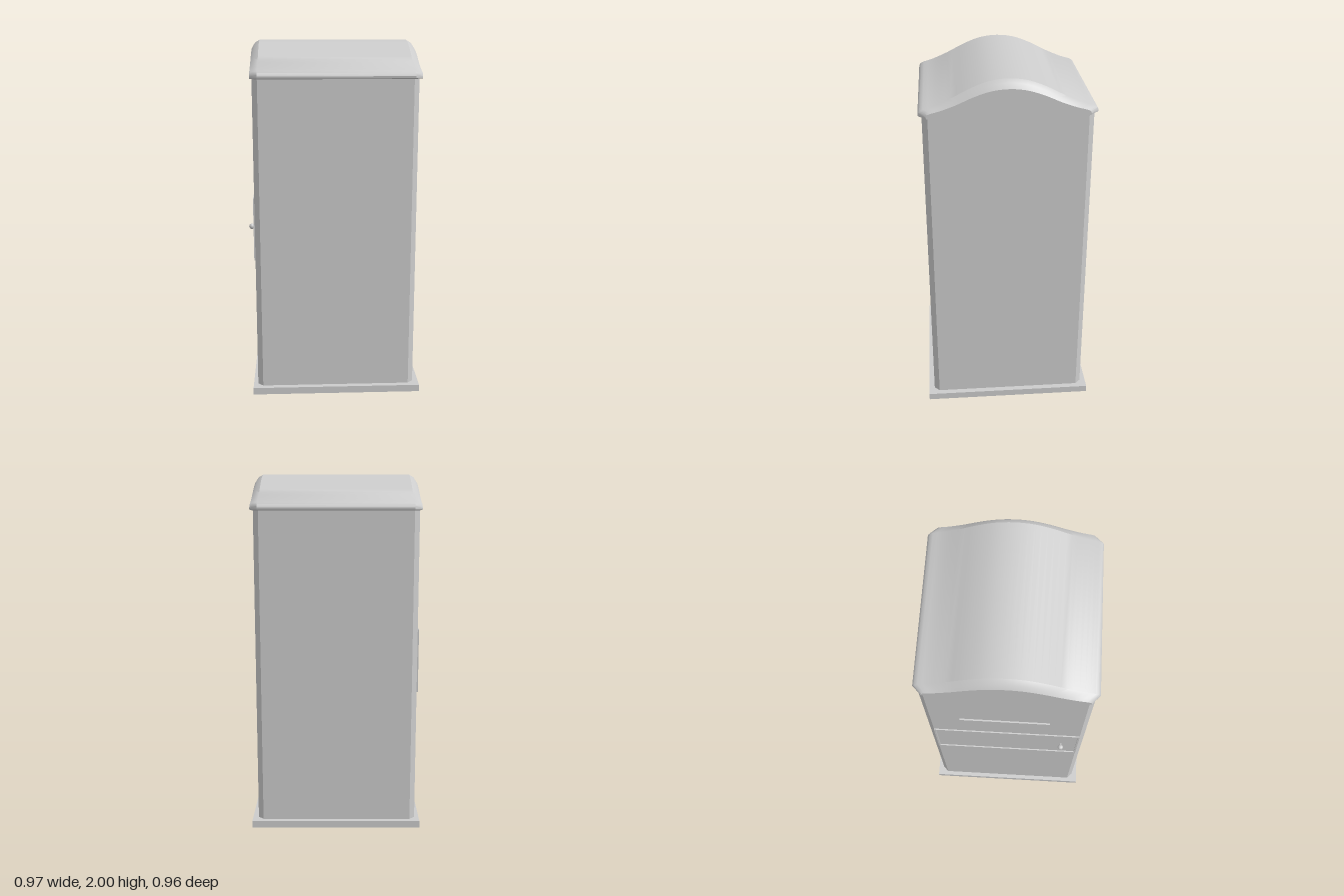
import * as THREE from 'three';
import { toCreasedNormals } from 'three/addons/utils/BufferGeometryUtils.js';

const material = new THREE.MeshStandardMaterial({ color: 0xcccccc });

function part(name, geometry, x = 0, y = 0, z = 0) {
  const mesh = new THREE.Mesh(geometry, material);
  mesh.name = name;
  mesh.position.set(x, y, z);
  return mesh;
}

function rect(target, x0, y0, x1, y1) {
  target.moveTo(x0, y0);
  target.lineTo(x1, y0);
  target.lineTo(x1, y1);
  target.lineTo(x0, y1);
  target.closePath();
  return target;
}

// Plate on the -x side, drawn in (z, y) and given thickness towards -x
function sidePlate(outer, hole, depth) {
  const shape = rect(new THREE.Shape(), ...outer);
  shape.holes.push(rect(new THREE.Path(), ...hole));
  return new THREE.ExtrudeGeometry(shape, { depth, bevelEnabled: false }).rotateY(-Math.PI / 2);
}

// Bell-shaped roof: one profile lofted along x, shrinking at the bevelled ends
function roofGeometry() {
  const floor = 1.805;
  const half = [[0.47, 1.821], [0.46, 1.838], [0.39, 1.862], [0.3, 1.9], [0.2, 1.951], [0.1, 1.988]];
  const curve = new THREE.CatmullRomCurve3([
    ...half.map(([z, y]) => new THREE.Vector3(0, y, z)),
    new THREE.Vector3(0, 2, 0),
    ...half.map(([z, y]) => new THREE.Vector3(0, y, -z)).reverse(),
  ]);
  const profile = [[0.455, floor], [0.468, 1.81], ...curve.getPoints(36).map((p) => [p.z, p.y]),
    [-0.468, 1.81], [-0.455, floor]];
  // x, inset in z, height factor
  const stations = [
    [-0.463, 0.042, 0.78], [-0.446, 0.026, 0.92], [-0.42, 0, 1],
    [0.43, 0, 1], [0.456, 0.026, 0.92], [0.473, 0.042, 0.78],
  ];
  const n = profile.length;
  const positions = [];
  const index = [];
  for (const [x, inset, rise] of stations) {
    for (const [z, y] of profile) positions.push(x, floor + (y - floor) * rise, z * (1 - inset / 0.47));
  }
  for (let i = 0; i < stations.length - 1; i++) {
    for (let j = 0; j < n; j++) {
      const a = i * n + j, b = i * n + (j + 1) % n;
      index.push(a, a + n, b, b, a + n, b + n);
    }
  }
  // End caps
  const last = (stations.length - 1) * n;
  const centre = positions.length / 3;
  positions.push(stations[0][0], floor, 0, stations.at(-1)[0], floor, 0);
  for (let j = 0; j < n - 1; j++) {
    index.push(centre, j, j + 1, centre + 1, last + j + 1, last + j);
  }
  const geometry = new THREE.BufferGeometry();
  geometry.setAttribute('position', new THREE.Float32BufferAttribute(positions, 3));
  geometry.setIndex(index);
  return toCreasedNormals(geometry, 0.5);
}

export function createModel() {
  const model = new THREE.Group();
  model.name = 'dropBox';

  model.add(part('basePlate', new THREE.BoxGeometry(0.962, 0.04, 0.965), 0.006, 0.02, 0));

  // Body with chamfered corners, notched on the -x side for the slotted wall
  const plan = new THREE.Shape([
    [0.455, -0.42], [0.455, 0.42], [0.425, 0.45], [-0.42, 0.45], [-0.45, 0.42], [-0.42, 0.42],
    [-0.42, -0.42], [-0.45, -0.42], [-0.42, -0.45], [0.425, -0.45],
  ].map(([x, y]) => new THREE.Vector2(x, y)));
  const body = new THREE.ExtrudeGeometry(plan, { depth: 1.77, bevelEnabled: false }).rotateX(-Math.PI / 2);
  model.add(part('body', body, 0, 0.04, 0));

  // Wall with the letter slot
  model.add(part('slottedWall',
    sidePlate([-0.42, 0.04, 0.42, 1.81], [-0.26, 1.355, 0.24, 1.385], 0.03), -0.42));

  // Thin raised frame round the door, and its knob
  model.add(part('doorFrame',
    sidePlate([-0.42, 0.79, 0.42, 1.15], [-0.41, 0.802, 0.41, 1.138], 0.007), -0.45));
  const knob = part('doorKnob', new THREE.SphereGeometry(0.016, 12, 8), -0.471, 0.965, 0.32);
  const stem = part('knobStem', new THREE.CylinderGeometry(0.007, 0.007, 0.022, 10).rotateZ(Math.PI / 2),
    -0.458, 0.965, 0.32);
  model.add(knob, stem);

  model.add(part('roof', roofGeometry()));
  return model;
}
